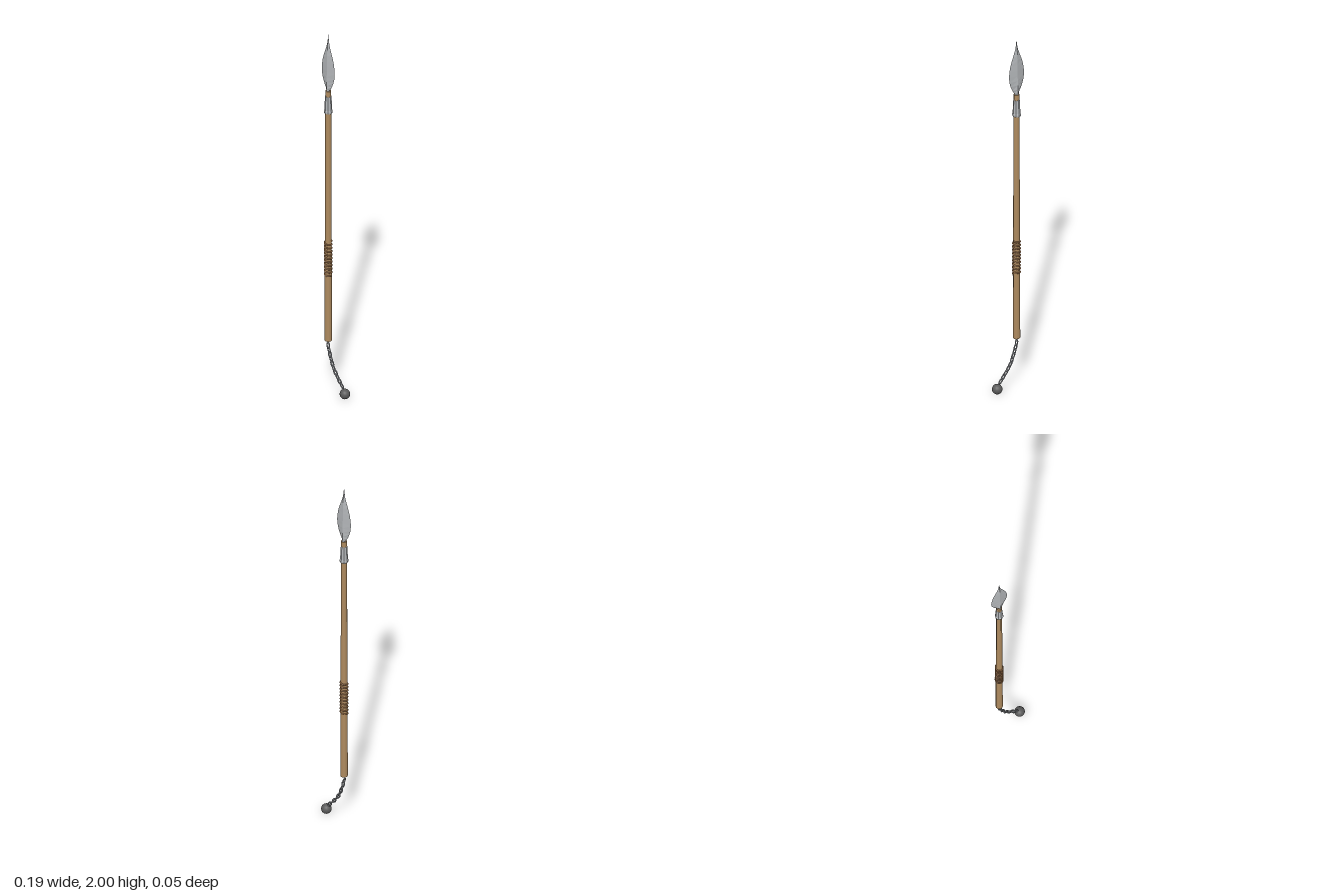
import * as THREE from 'three';

const AXIS_X = -0.05; // the shaft stands left of centre, balanced by the chain

const paint = (color, extra = {}) => new THREE.MeshStandardMaterial({ color, ...extra });
const wood = paint(0xb08c60);
const leather = paint(0x9c7048);
const steel = paint(0xb4b7ba, { flatShading: true });
const iron = paint(0x94979c);
const darkIron = paint(0x5a5a5a);

function add(parent, name, geometry, material, x = 0, y = 0, z = 0) {
  const mesh = new THREE.Mesh(geometry, material);
  mesh.name = name;
  mesh.position.set(x, y, z);
  parent.add(mesh);
  return mesh;
}

// Leaf blade: diamond cross-sections [y, half width, half thickness]
function bladeGeometry() {
  const keys = [
    [1.68, 0.006, 0.0135], [1.695, 0.015, 0.013], [1.715, 0.026, 0.012], [1.74, 0.0365, 0.011],
    [1.765, 0.043, 0.0105], [1.795, 0.046, 0.0095], [1.825, 0.0435, 0.009], [1.855, 0.038, 0.008],
    [1.885, 0.029, 0.0075], [1.915, 0.018, 0.0065], [1.945, 0.008, 0.0055], [1.97, 0.0035, 0.004],
    [2.0, 0.0003, 0.0003],
  ];
  const positions = [];
  const index = [];
  for (const [y, w, t] of keys) positions.push(w, y, 0, 0, y, t, -w, y, 0, 0, y, -t);
  for (let i = 0; i < keys.length - 1; i++) {
    for (let j = 0; j < 4; j++) {
      const a = i * 4 + j;
      const b = i * 4 + ((j + 1) % 4);
      index.push(a, a + 4, b, b, a + 4, b + 4);
    }
  }
  index.push(0, 1, 2, 0, 2, 3); // base cap
  const last = (keys.length - 1) * 4;
  index.push(last, last + 2, last + 1, last, last + 3, last + 2); // tip cap
  const geometry = new THREE.BufferGeometry();
  geometry.setAttribute('position', new THREE.Float32BufferAttribute(positions, 3));
  geometry.setIndex(index);
  const flat = geometry.toNonIndexed();
  flat.computeVertexNormals();
  return flat;
}

// Cord wound round the shaft
function wrapGeometry() {
  const turns = 10;
  const points = [];
  for (let i = 0; i <= turns * 12; i++) {
    const a = (i / 12) * Math.PI * 2;
    const y = 0.647 + (i / (turns * 12)) * 0.195;
    points.push(new THREE.Vector3(Math.cos(a) * 0.0175, y, Math.sin(a) * 0.0175));
  }
  return new THREE.TubeGeometry(new THREE.CatmullRomCurve3(points), turns * 16, 0.0045, 6);
}

// Oval chain link, long along y
function linkGeometry() {
  const points = [];
  for (let i = 0; i < 12; i++) {
    const a = (i / 12) * Math.PI * 2;
    points.push(new THREE.Vector3(Math.cos(a) * 0.0075, Math.sin(a) * 0.0155, 0));
  }
  return new THREE.TubeGeometry(new THREE.CatmullRomCurve3(points, true), 20, 0.0034, 6, true);
}

function createChain() {
  const chain = new THREE.Group();
  chain.name = 'chain';
  const path = new THREE.CatmullRomCurve3([
    [-0.05, 0.25], [-0.043, 0.222], [-0.031, 0.185], [-0.014, 0.143],
    [0.008, 0.11], [0.032, 0.08], [0.046, 0.064],
  ].map(([x, y]) => new THREE.Vector3(x, y, 0)));
  const geometry = linkGeometry();
  const count = 10;
  for (let i = 0; i < count; i++) {
    const u = i / (count - 1);
    const p = path.getPointAt(u);
    const t = path.getTangentAt(u);
    const link = add(chain, 'chainLink', geometry, iron, p.x, p.y, 0);
    // hang along the path, every other link turned a quarter
    link.quaternion.setFromUnitVectors(new THREE.Vector3(0, -1, 0), t);
    link.rotateY(i % 2 ? 0 : Math.PI / 2);
  }
  return chain;
}

export function createModel() {
  const model = new THREE.Group();
  model.name = 'chainedSpear';

  const spear = new THREE.Group();
  spear.name = 'spear';
  spear.position.x = AXIS_X;
  model.add(spear);

  // Shaft, slightly thinner at the top
  add(spear, 'shaft', new THREE.CylinderGeometry(0.0145, 0.0185, 1.405, 8), wood, 0, 0.9825, 0);
  add(spear, 'gripWrap', wrapGeometry(), leather);

  // Tapered metal collar with a lip at its foot
  const collar = [[0.0145, 1.562], [0.021, 1.562], [0.0215, 1.574], [0.0195, 1.578], [0.0158, 1.655], [0.0125, 1.655]];
  add(spear, 'collar', new THREE.LatheGeometry(collar.map(([r, y]) => new THREE.Vector2(r, y)), 8), steel);
  add(spear, 'blade', bladeGeometry(), steel);

  // Chain and weight at the butt
  model.add(createChain());
  add(model, 'weight', new THREE.SphereGeometry(0.026, 16, 12), darkIron, 0.068, 0.026, 0);
  return model;
}
